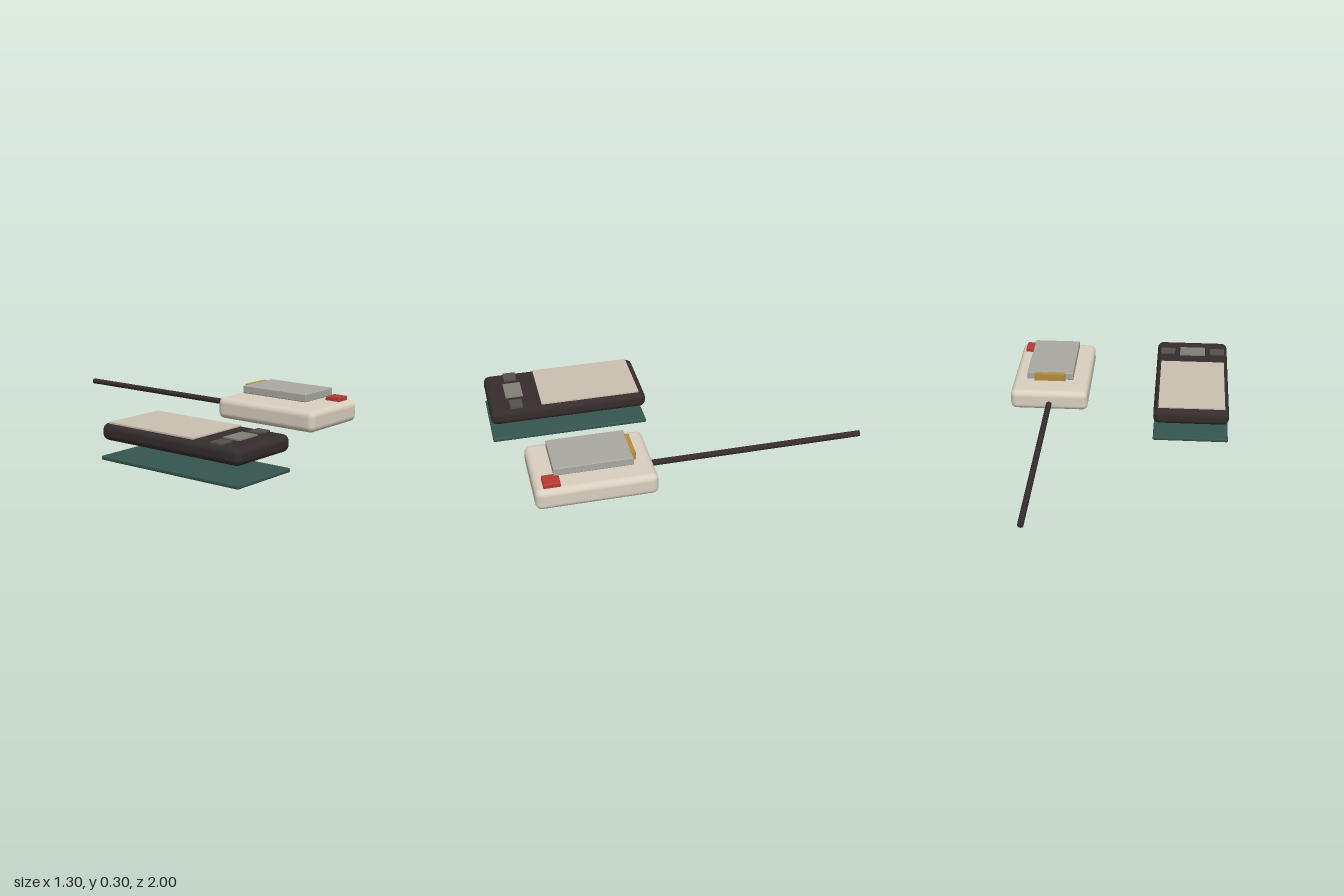
import * as THREE from 'three';
import { RoundedBoxGeometry } from 'three/addons/geometries/RoundedBoxGeometry.js';

function material(name, color) {
  const m = new THREE.MeshStandardMaterial({ color });
  m.name = name;
  return m;
}

export function createModel() {
  const dark = material('charcoal', 0x352c2d);
  const cream = material('cream', 0xd9cfbf);
  const screenMat = material('pale screen', 0xcbc0b1);
  const green = material('board green', 0x35564f);
  const red = material('red', 0xb83a34);
  const gold = material('gold', 0xb28e3c);
  const silver = material('silver grey', 0xaaa9a1);
  const keyGrey = material('key grey', 0x55504c);
  const padGrey = material('pad grey', 0x827f78);

  // Box given by its [min, max] range on each axis; r rounds the edges
  function block(name, mat, x, y, z, r = 0) {
    const size = [x, y, z].map(([a, b]) => b - a);
    const geometry = r ? new RoundedBoxGeometry(...size, 4, r) : new THREE.BoxGeometry(...size);
    const mesh = new THREE.Mesh(geometry, mat);
    mesh.name = name;
    mesh.position.set(...[x, y, z].map(([a, b]) => (a + b) / 2));
    return mesh;
  }

  // Handheld device floating above its circuit board
  const handheld = new THREE.Group();
  handheld.name = 'handheld';
  handheld.add(
    block('circuitBoard', green, [-0.65, -0.208], [0, 0.023], [0.09, 1], 0.008),
    block('handheldCase', dark, [-0.65, -0.208], [0.108, 0.2], [0.09, 1], 0.035),
    block('screen', screenMat, [-0.626, -0.236], [0.198, 0.207], [0.128, 0.703]),
    block('centrePad', padGrey, [-0.508, -0.352], [0.198, 0.207], [0.795, 0.897])
  );
  for (const [side, x] of [['right', -0.586], ['left', -0.276]]) {
    handheld.add(block(side + 'Button', keyGrey, [x - 0.044, x + 0.044], [0.198, 0.207], [0.81, 0.883]));
  }

  // Corded unit with a cartridge hovering above it
  const cordedUnit = new THREE.Group();
  cordedUnit.name = 'cordedUnit';
  cordedUnit.add(
    block('unitCase', cream, [0.188, 0.648], [0.108, 0.229], [0.212, 0.866], 0.035),
    block('redButton', red, [0.527, 0.618], [0.223, 0.252], [0.727, 0.818], 0.006),
    block('cartridge', silver, [0.281, 0.556], [0.255, 0.3], [0.328, 0.755], 0.005),
    block('contactStrip', gold, [0.327, 0.511], [0.257, 0.3], [0.308, 0.338])
  );
  const cable = new THREE.Mesh(new THREE.CylinderGeometry(0.017, 0.017, 1.24, 12), dark);
  cable.name = 'cable';
  cable.rotation.x = Math.PI / 2;
  cable.position.set(0.418, 0.152, -0.38);
  cordedUnit.add(cable);

  const model = new THREE.Group();
  model.name = 'deviceSet';
  model.add(handheld, cordedUnit);
  return model;
}
